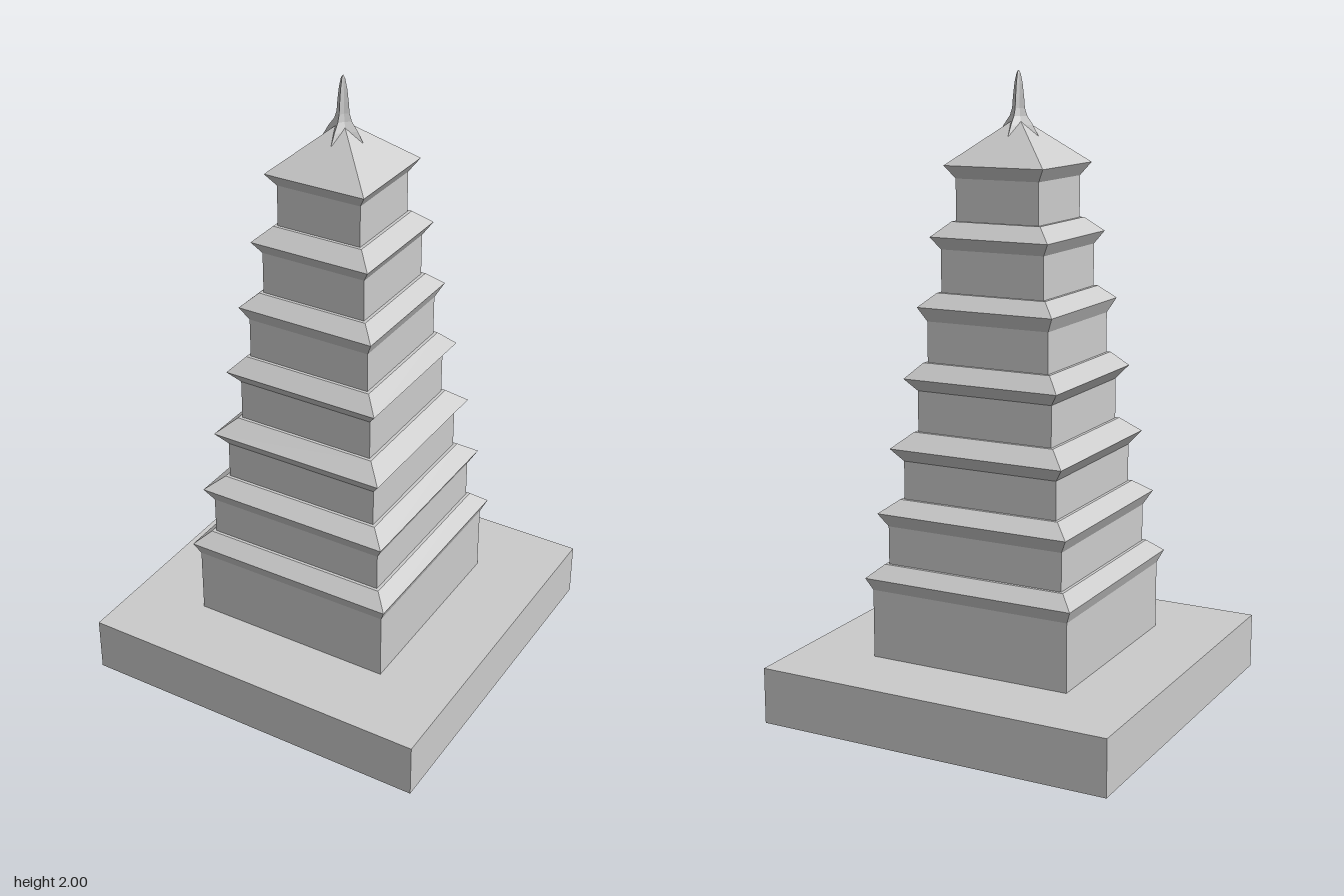
import * as THREE from 'three';

const material = new THREE.MeshStandardMaterial({ color: 0xcccccc, flatShading: true });

// Square frustum given by half widths and heights at its bottom and top
function squareBlock(name, y0, half0, y1, half1) {
  const geometry = new THREE.CylinderGeometry(half1 * Math.SQRT2, half0 * Math.SQRT2, y1 - y0, 4);
  geometry.rotateY(Math.PI / 4);
  geometry.translate(0, (y0 + y1) / 2, 0);
  const mesh = new THREE.Mesh(geometry, material);
  mesh.name = name;
  return mesh;
}

// Four-ribbed spire: a lathe whose diagonal columns are pulled inwards
function finialMesh() {
  const profile = [
    [0.077, 1.78], [0.067, 1.805], [0.05, 1.835], [0.03, 1.862], [0.022, 1.885],
    [0.019, 1.92], [0.014, 1.96], [0.007, 1.99], [0, 2],
  ].map(([r, y]) => new THREE.Vector2(r, y));
  const geometry = new THREE.LatheGeometry(profile, 8);
  const position = geometry.attributes.position;
  for (let i = 0; i < position.count; i++) {
    const x = position.getX(i), z = position.getZ(i);
    const diagonal = Math.min(Math.abs(x), Math.abs(z)) > 0.3 * Math.hypot(x, z);
    if (diagonal) position.setXYZ(i, x * 0.55, position.getY(i), z * 0.55);
  }
  geometry.computeVertexNormals();
  const mesh = new THREE.Mesh(geometry, material);
  mesh.name = 'finial';
  return mesh;
}

export function createModel() {
  const model = new THREE.Group();
  model.name = 'pagoda';
  model.add(squareBlock('base', 0, 0.585, 0.18, 0.585));

  // Each storey: wall half width, eave half width, heights of wall top, eave edge and roof top
  const storeys = [
    [0.337, 0.355, 0.4, 0.44, 0.48],
    [0.3, 0.325, 0.602, 0.646, 0.686],
    [0.263, 0.295, 0.808, 0.85, 0.898],
    [0.23, 0.262, 1.028, 1.068, 1.115],
    [0.207, 0.23, 1.243, 1.288, 1.33],
    [0.175, 0.2, 1.463, 1.502, 1.547],
    [0.141, 0.168, 1.677, 1.717, 1.86],
  ];
  let floor = 0.18;
  storeys.forEach(([wall, eave, wallTop, edge, roofTop], i) => {
    const storey = new THREE.Group();
    storey.name = `storey${i + 1}`;
    const next = storeys[i + 1];
    storey.add(
      squareBlock('wall', floor, wall, wallTop, wall),
      squareBlock('eave', wallTop, wall, edge, eave),
      squareBlock('roof', edge, eave, roofTop, next ? next[0] + 0.01 : 0),
    );
    model.add(storey);
    floor = roofTop;
  });

  model.add(finialMesh());
  return model;
}
